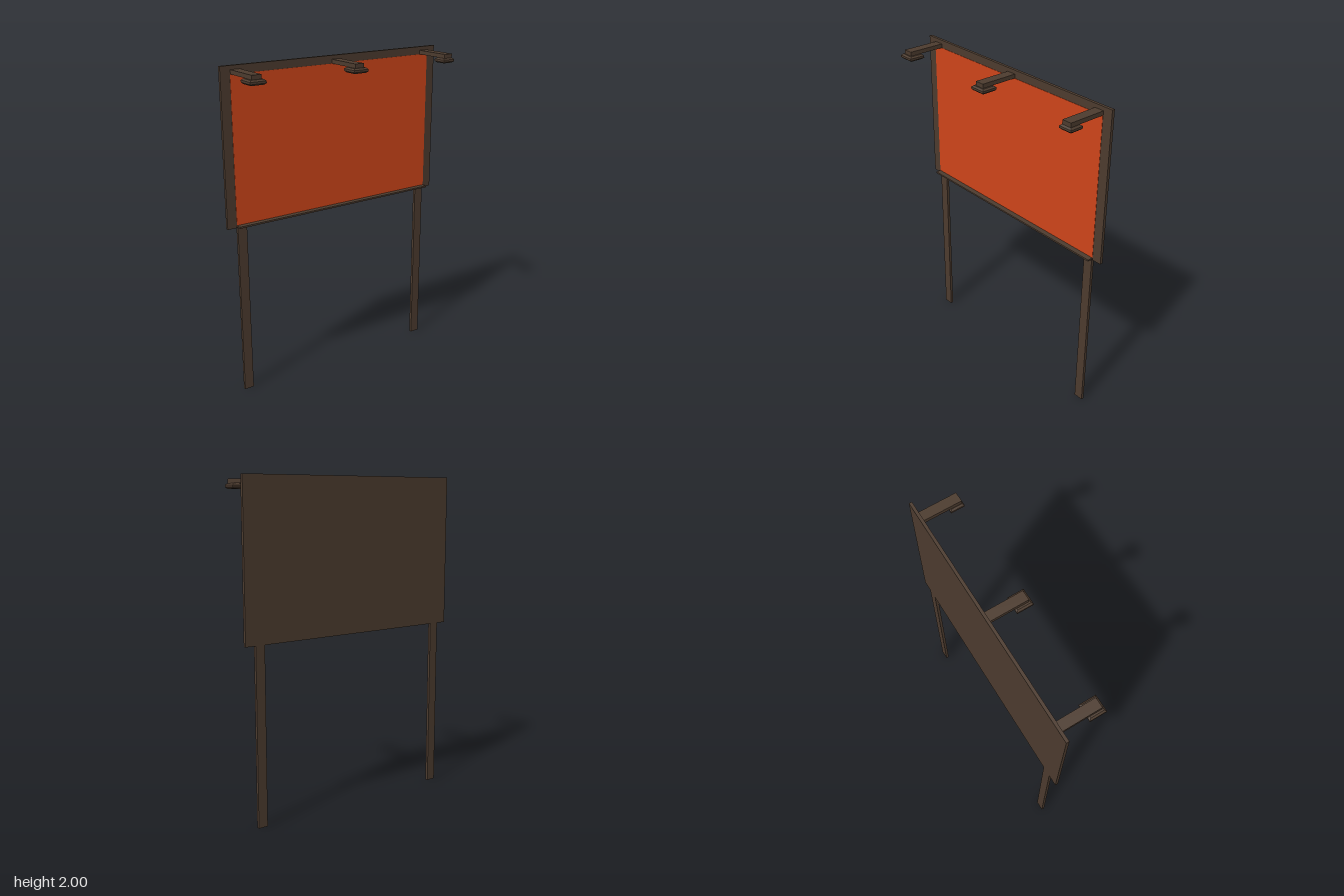
import * as THREE from 'three';

const brown = new THREE.MeshStandardMaterial({ color: 0x4d3c2f, flatShading: true });
const orange = new THREE.MeshStandardMaterial({ color: 0xd0451a });

// Box given by its min and max on each axis
function box(name, [x0, x1], [y0, y1], [z0, z1], material = brown) {
  const mesh = new THREE.Mesh(new THREE.BoxGeometry(x1 - x0, y1 - y0, z1 - z0), material);
  mesh.position.set((x0 + x1) / 2, (y0 + y1) / 2, (z0 + z1) / 2);
  mesh.name = name;
  return mesh;
}

// Flat square lamp head with bevelled rims
function lampHead(half) {
  const inner = half - 0.01;
  const profile = [[0, -0.015], [inner, -0.015], [half, -0.006], [half, 0.006], [inner, 0.015], [0, 0.015]]
    .map(([r, y]) => new THREE.Vector2(r * Math.SQRT2, y));
  const mesh = new THREE.Mesh(new THREE.LatheGeometry(profile, 4).rotateY(Math.PI / 4), brown);
  mesh.name = 'lampHead';
  return mesh;
}

export function createModel() {
  const model = new THREE.Group();
  model.name = 'billboard';
  const back = -0.135, front = -0.117;

  // Board, coloured panel and the ledge under it
  model.add(box('board', [-0.766, 0.766], [1.065, 2], [back, front]));
  model.add(box('panel', [-0.706, 0.706], [1.08, 1.952], [front - 0.005, front + 0.002], orange));
  model.add(box('ledge', [-0.706, 0.706], [1.07, 1.08], [front - 0.005, -0.081]));

  // Two flat posts
  for (const [name, x] of [['rightPost', -0.67], ['leftPost', 0.67]]) {
    model.add(box(name, [x - 0.03, x + 0.03], [0, 1.066], [back, front]));
  }

  // Three lamps on arms over the panel; the left one is a little smaller
  for (const [name, x, half] of [['rightLamp', -0.673, 0.05], ['middleLamp', 0, 0.05], ['leftLamp', 0.677, 0.042]]) {
    const lamp = new THREE.Group();
    lamp.name = name;
    lamp.position.x = x;
    lamp.add(box('lampArm', [-0.03, 0.03], [1.952, 1.977], [front - 0.005, 0.117]));
    const head = lampHead(half);
    head.position.set(0, 1.937, 0.084);
    lamp.add(head);
    model.add(lamp);
  }
  return model;
}
